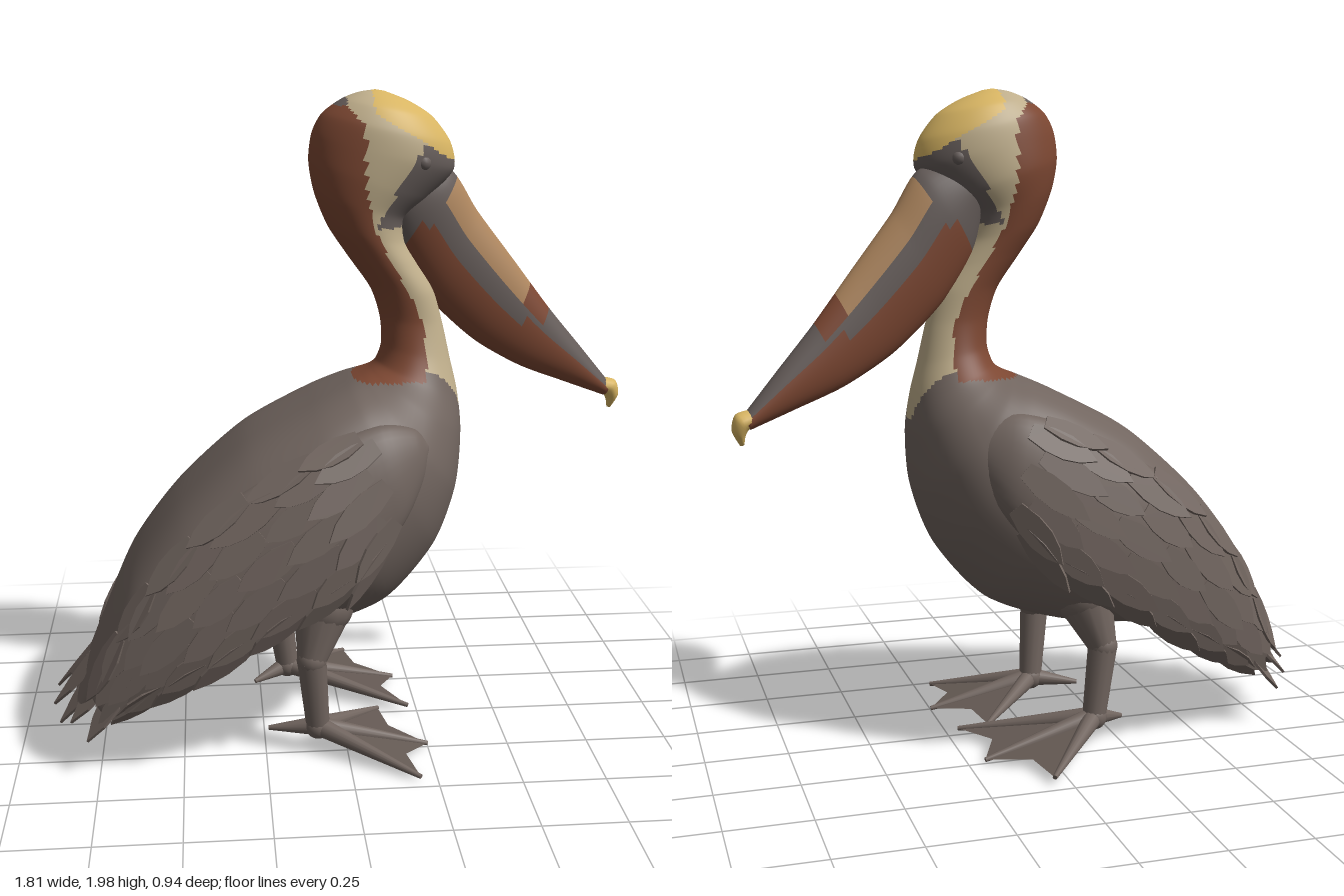
import * as THREE from 'three';
import { mergeGeometries } from 'three/addons/utils/BufferGeometryUtils.js';

const V = (x, y, z) => new THREE.Vector3(x, y, z);
const { lerp } = THREE.MathUtils;
const MID = 0.035; // the body sits slightly to one side

const mat = (name, color) => {
  const m = new THREE.MeshStandardMaterial({ color });
  m.name = name;
  return m;
};

// Surface through oval rings [topX, topY, bottomX, bottomY, centreZ, halfWidth, lean, square];
// lean moves the top towards -z and the bottom towards +z, square (0 to 1) broadens the top half
function surface(rings) {
  const curve = f => new THREE.CatmullRomCurve3(rings.map(f), false, 'catmullrom', 0.4);
  const top = curve(r => V(r[0], r[1], r[4] - (r[6] ?? 0)));
  const bottom = curve(r => V(r[2], r[3], r[4] + (r[6] ?? 0)));
  const size = curve(r => V(r[5], r[7] ?? 0, 0));
  return (t, a) => {
    const p = top.getPoint(t), q = bottom.getPoint(t), { x: w, y: square } = size.getPoint(t);
    const c = p.clone().add(q).multiplyScalar(0.5);
    const cos = Math.cos(a), sin = Math.sin(a);
    const e = cos > 0 ? 1 - 0.4 * Math.max(0, square) : 1;
    c.addScaledVector(p.sub(q), (Math.sign(cos) * Math.abs(cos) ** e) / 2);
    c.z += Math.sign(sin) * Math.abs(sin) ** e * Math.max(0.001, w);
    return c;
  };
}

// Closed smooth skin; paint(x, y, z, t, cos) chooses a material index per face
function loft(at, n, m, paint = () => 0) {
  const pos = [], buckets = [];
  for (let i = 0; i <= n; i++)
    for (let j = 0; j < m; j++) pos.push(...at(i / n, (j / m) * Math.PI * 2).toArray());
  const add = (k, ...ids) => (buckets[k] ??= []).push(...ids);
  for (let i = 0; i < n; i++)
    for (let j = 0; j < m; j++) {
      const a = i * m + j, b = i * m + (j + 1) % m, t = (i + 0.5) / n, ang = ((j + 0.5) / m) * Math.PI * 2;
      const c = at(t, ang);
      add(paint(c.x, c.y, c.z, t, Math.cos(ang)), a, b, a + m, b, b + m, a + m);
    }
  const capPaint = t => { const c = at(t, 0); return paint(c.x, c.y, c.z, t, 1); };
  for (let j = 1; j < m - 1; j++) {
    add(capPaint(0), 0, j + 1, j);
    add(capPaint(1), n * m, n * m + j, n * m + j + 1);
  }
  const g = new THREE.BufferGeometry(), index = [];
  buckets.forEach((ids, k) => {
    g.addGroup(index.length, ids.length, k);
    for (const id of ids) index.push(id);
  });
  g.setAttribute('position', new THREE.Float32BufferAttribute(pos, 3));
  g.setIndex(index);
  g.computeVertexNormals();
  return g;
}

// Piecewise linear lookup in [[key, value], ...]
function ramp(pts, k) {
  for (let i = 1; i < pts.length; i++)
    if (k <= pts[i][0]) {
      const [a, b] = [pts[i - 1], pts[i]];
      return lerp(a[1], b[1], Math.max(0, (k - a[0]) / (b[0] - a[0])));
    }
  return pts[pts.length - 1][1];
}

// Pointed feather from root along dir, flat side facing normal
function feather(root, dir, normal, length, width) {
  const s = new THREE.Shape();
  s.moveTo(0, -width * 0.3);
  s.quadraticCurveTo(length * 0.6, -width * 0.8, length, 0);
  s.quadraticCurveTo(length * 0.6, width * 0.8, 0, width * 0.3);
  const g = new THREE.ExtrudeGeometry(s, { depth: 0.008, bevelEnabled: false, curveSegments: 4 });
  const x = dir.clone().normalize();
  const y = normal.clone().cross(x).normalize();
  return g.applyMatrix4(new THREE.Matrix4().makeBasis(x, y, x.clone().cross(y)).setPosition(root));
}

// Tapered round limb between two points
function rod(a, b, r1, r2) {
  const d = b.clone().sub(a);
  const g = new THREE.CylinderGeometry(r2, r1, d.length(), 14);
  g.applyQuaternion(new THREE.Quaternion().setFromUnitVectors(V(0, 1, 0), d.clone().normalize()));
  return g.translate(...a.clone().add(b).multiplyScalar(0.5).toArray());
}

export function createModel() {
  const model = new THREE.Group();
  const plumage = mat('grey brown plumage', 0x71655f), brown = mat('chestnut', 0x7c4732);
  const cream = mat('cream', 0xbfae8b), yellow = mat('crown yellow', 0xd8b563);
  const tan = mat('bill tan', 0xae865e), slate = mat('slate skin', 0x655c59);
  const webbing = mat('foot webbing', 0x655a54);
  webbing.side = THREE.DoubleSide;
  const put = (name, geo, m, parent = model) => {
    const mesh = new THREE.Mesh(geo, m);
    mesh.name = name;
    parent.add(mesh);
    return mesh;
  };

  // Body, neck and head in one skin, from tail to crown
  const body = surface([
    [-0.83, 0.19, -0.8, 0.16, 0.08, 0.17, 0, 0.2], [-0.75, 0.38, -0.7, 0.22, 0.07, 0.25, 0, 0.6],
    [-0.65, 0.6, -0.5, 0.32, 0.05, 0.31, 0, 0.9], [-0.5, 0.795, -0.3, 0.34, 0.04, 0.345, 0, 1],
    [-0.3, 0.975, -0.08, 0.37, MID, 0.355, 0, 1], [-0.1, 1.085, 0.13, 0.45, MID, 0.35, 0, 1],
    [0.01, 1.135, 0.28, 0.62, 0.03, 0.32, 0, 0.8], [0.06, 1.155, 0.35, 0.8, 0.02, 0.28, 0, 0.4],
    [0.09, 1.17, 0.368, 0.97, 0.01, 0.21, 0, 0.1], [0.11, 1.19, 0.358, 1.09, 0, 0.145],
    [0.125, 1.24, 0.335, 1.19, 0, 0.105], [0.12, 1.32, 0.31, 1.3, 0, 0.085],
    [0.09, 1.41, 0.28, 1.4, 0.005, 0.09], [0.02, 1.51, 0.23, 1.48, 0.01, 0.103],
    [-0.04, 1.6, 0.19, 1.55, 0.012, 0.118], [-0.08, 1.7, 0.19, 1.62, 0.01, 0.132],
    [-0.095, 1.79, 0.26, 1.68, 0.005, 0.145], [-0.085, 1.87, 0.335, 1.76, 0.005, 0.145],
    [-0.055, 1.925, 0.325, 1.84, 0.005, 0.135], [0, 1.965, 0.27, 1.915, 0.005, 0.105],
    [0.05, 1.985, 0.2, 1.96, 0.005, 0.06], [0.1, 1.993, 0.13, 1.988, 0.005, 0.01],
  ]);
  const napeEdge = [[1.14, 0.25], [1.3, 0.245], [1.4, 0.2], [1.5, 0.14], [1.6, 0.09], [1.7, 0.065], [1.9, 0.06], [1.95, 0.01]];
  const paintBody = (x, y, z) => {
    const bib = x > 0.25 ? 1.17 - Math.max(0, 0.15 - 1.7 * Math.max(0, Math.abs(z) - 0.03)) : 1.145;
    if (y < bib) return 0;
    if (y < 1.95 && x < ramp(napeEdge, y)) return 1;
    if (y > 1.94 && x < 0.015) return 4;
    if (x > 0.09 && y > 1.79 + 0.58 * (0.33 - x)) return 3;
    return y > 1.6 && x > 0.15 + (y - 1.7) * 0.6 ? 4 : 2;
  };
  put('bodyNeckAndHead', loft(body, 210, 64, paintBody), [plumage, brown, cream, yellow, slate]);

  // Bill with its throat pouch, turned a little to one side
  const bill = surface([
    [0.2, 1.8, 0.14, 1.62, -0.01, 0.085], [0.335, 1.755, 0.18, 1.5, -0.028, 0.085],
    [0.42, 1.63, 0.28, 1.36, -0.045, 0.073], [0.54, 1.475, 0.42, 1.23, -0.063, 0.062],
    [0.66, 1.32, 0.57, 1.14, -0.085, 0.052], [0.77, 1.19, 0.72, 1.08, -0.104, 0.044],
    [0.87, 1.07, 0.85, 1.03, -0.12, 0.036],
  ]);
  const paintBill = (x, y, z, t, c) => {
    if (t < 0.2) return t > 0.15 && c < -0.2 ? 2 : 0;
    if (c > 0.45) return t > 0.66 ? 0 : t > 0.58 ? 2 : 1;
    return c > (t < 0.6 ? 0 : 0.25) ? 0 : 2;
  };
  put('billAndPouch', loft(bill, 80, 40, paintBill), [slate, tan, brown]);
  const hook = surface([
    [0.85, 1.088, 0.835, 1.04, -0.118, 0.036], [0.892, 1.075, 0.855, 1.03, -0.123, 0.038],
    [0.903, 1.03, 0.865, 1.01, -0.125, 0.025], [0.88, 0.985, 0.868, 0.988, -0.125, 0.004],
  ]);
  put('billHook', loft(hook, 12, 14), yellow);
  for (const s of [-1, 1]) {
    const brow = put(s > 0 ? 'rightEye' : 'leftEye', new THREE.SphereGeometry(0.024, 14, 10), slate);
    brow.position.set(0.23, 1.79, 0.005 + s * 0.108);
  }

  // Folded wings with overlapping feather rows
  for (const s of [-1, 1]) {
    const wing = new THREE.Group();
    wing.name = s > 0 ? 'rightWing' : 'leftWing';
    model.add(wing);
    const shell = surface([
      [-0.77, 0.26, -0.73, 0.19, 0.235, 0.02, 0, 0.045], [-0.69, 0.44, -0.56, 0.28, 0.28, 0.038, 0.01, 0.03],
      [-0.56, 0.65, -0.38, 0.38, 0.322, 0.053, 0.02, 0.015], [-0.36, 0.85, -0.18, 0.5, 0.34, 0.065, 0.025, 0],
      [-0.1, 1.0, 0.02, 0.62, 0.335, 0.07, 0.025, 0], [0.08, 1.06, 0.15, 0.77, 0.295, 0.065, 0.02, 0],
      [0.19, 1.04, 0.215, 0.88, 0.25, 0.045, 0.01, 0], [0.235, 0.99, 0.235, 0.95, 0.23, 0.015, 0, 0],
    ].map(r => [...r.slice(0, 4), MID + r[7] + s * r[4], r[5], s * r[6]]));
    put('wingShell', loft(shell, 40, 28), plumage, wing);
    const blades = [];
    for (let row = 0; row < 6; row++)
      for (let k = 0; k < 7; k++) {
        const t = 0.66 - row * 0.1 + (k % 2) * 0.035;
        const a = s * lerp(0.35, 2.75, k / 6);
        const p = shell(t, a);
        const back = shell(Math.max(0, t - 0.06), a).sub(p);
        const side = shell(t, a + 0.05).sub(shell(t, a - 0.05));
        const normal = back.clone().cross(side).normalize();
        if (normal.z * s < 0) normal.negate();
        const dir = back.normalize().addScaledVector(normal, 0.05).add(V(0, -0.12, 0));
        p.addScaledVector(normal, -0.004);
        blades.push(feather(p, dir, normal, 0.2 + ((k * 5 + row * 3) % 4) * 0.012, 0.085));
      }
    put('wingFeathers', mergeGeometries(blades), plumage, wing);
  }

  // Tail fan
  const tail = [];
  for (let i = 0; i < 9; i++) {
    const f = (i - 4) / 4;
    const root = V(-0.66 + 0.04 * f * f, 0.43 - 0.07 * f * f, 0.07 + f * 0.19);
    const tip = V(-0.9 + 0.12 * f * f, 0.12 + 0.03 * (i % 2), 0.08 + f * 0.27);
    const dir = tip.clone().sub(root);
    tail.push(feather(root, dir, V(-0.75, 0.6, f * 0.35), dir.length(), 0.13));
  }
  put('tailFeathers', mergeGeometries(tail), plumage);

  // Legs and webbed feet
  const legs = [
    { name: 'right', hip: V(-0.07, 0.48, 0.21), knee: V(-0.11, 0.32, 0.262), ankle: V(-0.09, 0.09, 0.24),
      toes: [V(0.2, 0.02, 0.46), V(0.25, 0.015, 0.24), V(0.12, 0.03, 0.01)], hind: V(-0.24, 0.07, 0.2) },
    { name: 'left', hip: V(-0.14, 0.48, -0.14), knee: V(-0.19, 0.32, -0.19), ankle: V(-0.16, 0.1, -0.2),
      toes: [V(0.22, 0.03, 0), V(0.2, 0.02, -0.25), V(0.05, 0.03, -0.46)], hind: V(-0.27, 0.07, -0.14) },
  ];
  for (const { name, hip, knee, ankle, toes, hind } of legs) {
    const leg = new THREE.Group();
    leg.name = name + 'Leg';
    model.add(leg);
    const ball = (p, r) => new THREE.SphereGeometry(r, 16, 12).translate(p.x, p.y, p.z);
    put('thigh', mergeGeometries([ball(hip, 0.095), rod(hip, knee, 0.094, 0.045)]), plumage, leg);
    put('shank', mergeGeometries([rod(knee, ankle, 0.045, 0.036), ball(knee, 0.046), ball(ankle, 0.04)]), plumage, leg);
    put('toes', mergeGeometries([...toes, hind].map(t => rod(ankle, t, 0.03, 0.007))), plumage, leg);
    // Web between neighbouring toes, with a hollow outer edge
    const web = [];
    for (let k = 0; k < 2; k++) {
      const hollow = toes[k].clone().add(toes[k + 1]).multiplyScalar(0.5).lerp(ankle, 0.17);
      for (const p of [ankle, toes[k], hollow, ankle, hollow, toes[k + 1]]) web.push(...p.toArray());
    }
    const g = new THREE.BufferGeometry();
    g.setAttribute('position', new THREE.Float32BufferAttribute(web, 3));
    g.computeVertexNormals();
    put('web', g, webbing, leg);
  }
  return model;
}
